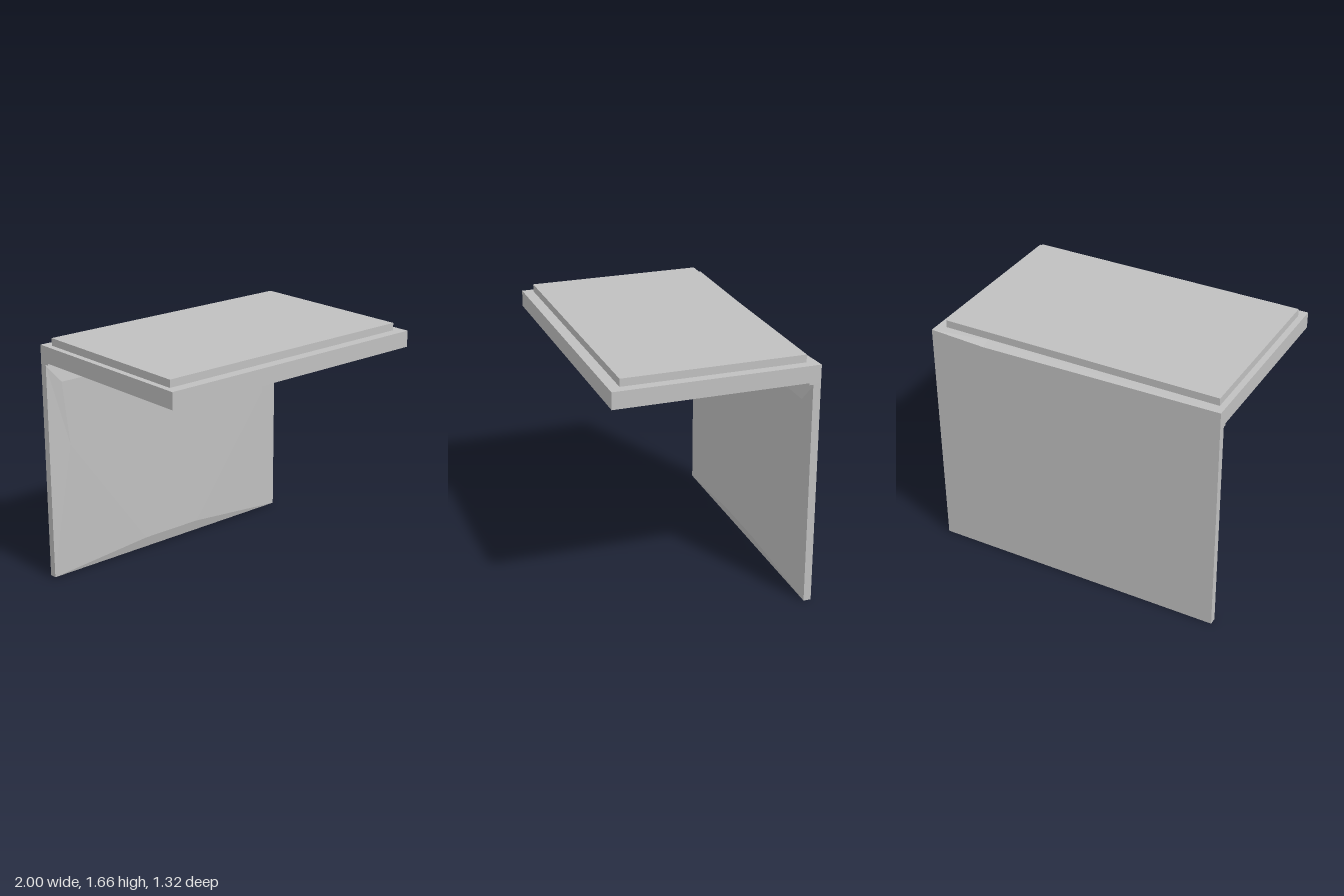
import * as THREE from 'three';

// Flat-faced geometry from corner loops (counter-clockwise from outside)
function fromFaces(points, faces) {
  const pos = [];
  for (const f of faces)
    for (let i = 1; i < f.length - 1; i++)
      for (const k of [f[0], f[i], f[i + 1]]) pos.push(...points[k]);
  const g = new THREE.BufferGeometry();
  g.setAttribute('position', new THREE.Float32BufferAttribute(pos, 3));
  g.computeVertexNormals();
  return g;
}

export function createModel() {
  const group = new THREE.Group();
  const grey = new THREE.MeshStandardMaterial({ color: 0xc0c0c0, flatShading: true });
  grey.name = 'plain grey';

  const add = (name, geometry) => {
    const m = new THREE.Mesh(geometry, grey);
    m.name = name;
    group.add(m);
  };
  // Box given by its extents on each axis
  const slab = (name, [x0, x1], [y0, y1], [z0, z1]) => {
    const g = new THREE.BoxGeometry(x1 - x0, y1 - y0, z1 - z0);
    g.translate((x0 + x1) / 2, (y0 + y1) / 2, (z0 + z1) / 2);
    add(name, g);
  };

  // Upright back wall and the thin strip under the roof
  slab('backWall', [-1, 1], [0, 1.49], [-0.66, -0.61]);
  slab('wallCap', [-1, 1], [1.487, 1.5], [-0.66, -0.585]);

  // Raised front of the wall, with sloped irregular margins
  const zb = -0.61, zf = -0.585;
  add('wallPanel', fromFaces([
    [-1, 0, zb], [1, 0, zb], [1, 1.48, zb], [-1, 1.48, zb],
    [-0.24, 0.08, zf], [0.22, 0.08, zf], [0.85, 0.92, zf],
    [0.9, 1.36, zf], [-0.9, 1.36, zf], [-0.85, 0.92, zf],
  ], [
    [4, 5, 6, 7, 8, 9],
    [0, 1, 5, 4],
    [1, 6, 5], [1, 2, 7, 6],
    [2, 3, 8, 7],
    [3, 0, 9, 8], [0, 4, 9],
  ]));

  // Roof slab, its rear top edge slightly dented
  const y0 = 1.5, y1 = 1.61, d = 0.66;
  add('roofSlab', fromFaces([
    [-1, y0, d], [1, y0, d], [1, y0, -d], [-1, y0, -d],
    [-1, y1, d], [1, y1, d], [1, y1, -d], [-1, y1, -d],
    [0.62, y1, -0.6], [0.62, y1 - 0.02, -d],
  ], [
    [0, 1, 5, 4], [1, 2, 6, 5], [3, 0, 4, 7], [0, 3, 2, 1],
    [8, 7, 4, 5, 6],
    [8, 9, 7], [8, 6, 9],
    [9, 6, 2, 3, 7],
  ]));

  // Smaller raised plate on the roof
  slab('roofPlate', [-0.96, 0.935], [1.605, 1.66], [-0.59, 0.59]);

  return group;
}
